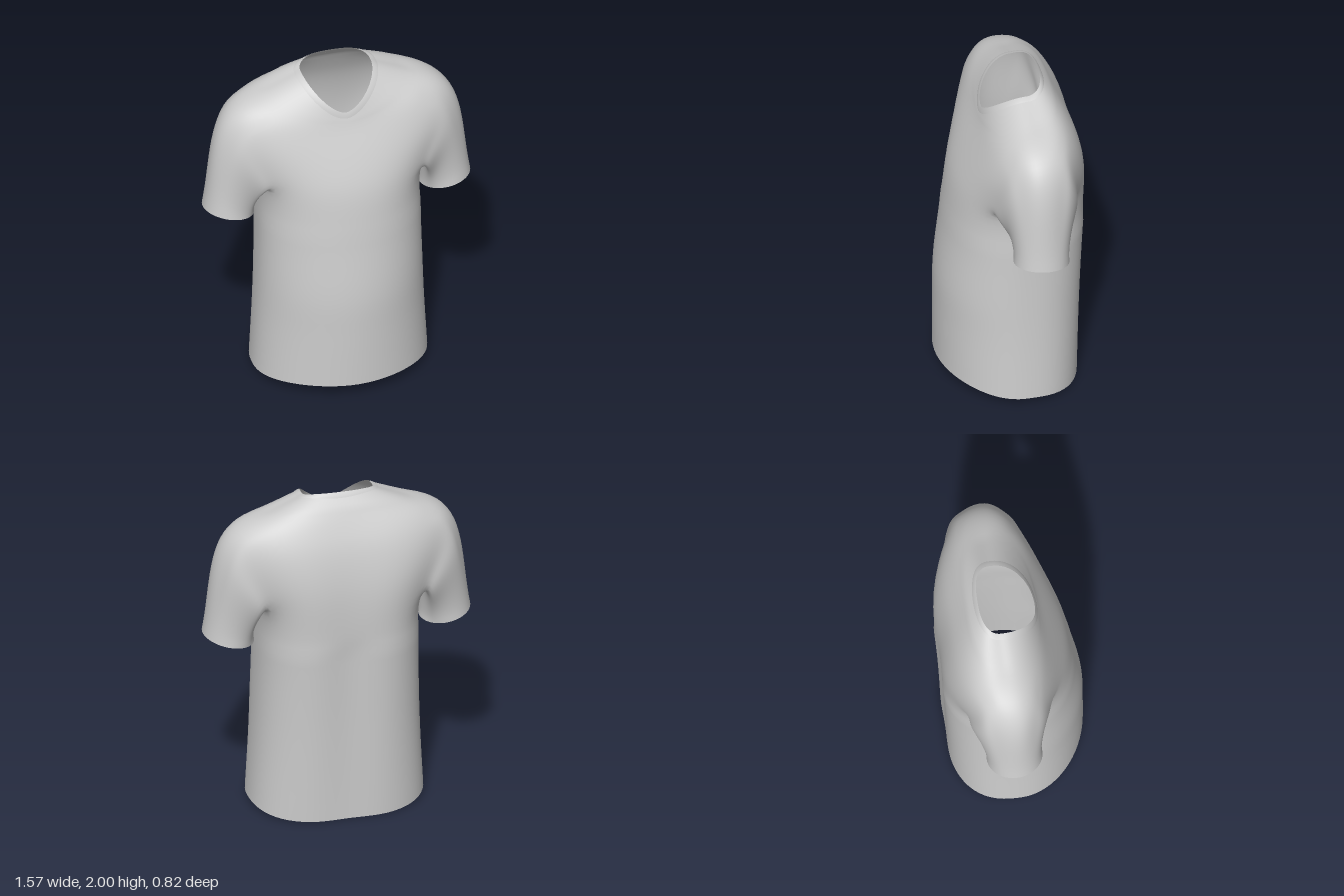
import * as THREE from 'three';

const COLS = 72, STEP = 5, SLEEVE_ROWS = 16;

// Body rings from hem to neckline:
// [frontY, frontZ, sideX, sideY, sideZ, backY, backZ, squareness, spineDip, frontPower]
const RINGS = [
  [0.08, 0.42, 0.51, 0.04, 0.0, 0.0, -0.385, 1.95, 0.02, 4],
  [0.40, 0.42, 0.49, 0.40, 0.0, 0.40, -0.40, 1.95, 0.03, 2],
  [0.66, 0.415, 0.48, 0.66, 0.0, 0.66, -0.41, 2.0, 0.035, 2],
  [1.00, 0.375, 0.472, 1.00, -0.01, 1.00, -0.425, 2.1, 0.04, 2],
  [1.30, 0.34, 0.475, 1.30, -0.03, 1.30, -0.435, 2.35, 0.04, 2],
  [1.45, 0.29, 0.54, 1.45, -0.04, 1.50, -0.42, 2.6, 0.035, 2],
  [1.58, 0.235, 0.62, 1.65, -0.04, 1.70, -0.37, 2.6, 0.025, 2],
  [1.68, 0.19, 0.58, 1.82, -0.05, 1.82, -0.31, 2.5, 0.015, 2],
  [1.74, 0.168, 0.40, 1.885, -0.06, 1.92, -0.245, 2.2, 0.0, 1.8],
  [1.785, 0.15, 0.207, 1.965, -0.07, 1.995, -0.18, 2.1, 0.0, 1.6],
];
const ROWS = (RINGS.length - 1) * STEP;

// Armhole: a block of the body grid left open for the sleeve
const HOLE = { c0: COLS / 4 - 7, c1: COLS / 4 + 7, r0: 21, r1: 35 };

function ringPoint([fy, fz, sx, sy, sz, by, bz, square, dip, power], angle) {
  const s = Math.sin(angle), c = Math.cos(angle), front = c > 0;
  const n = front ? square : square + 0.5;
  const r = Math.pow(Math.abs(s) ** n + Math.abs(c) ** n, -1 / n);
  const x = sx * s * r;
  let z = sz + Math.abs(c) * r * ((front ? fz : bz) - sz);
  if (!front) z += dip * Math.exp(-((x / 0.17) ** 2));
  const weight = 1 - Math.abs(s) ** (front ? power : 4);
  return new THREE.Vector3(x, sy + ((front ? fy : by) - sy) * weight, z);
}

// Path of one sleeve thread from the armhole to the cuff (on the +x side)
function sleeveThread(start) {
  const phi = Math.atan2((start.z + 0.05) / 0.22, (start.y - 1.58) / 0.24);
  const c = Math.cos(phi), s = Math.sin(phi), u = (1 + c) / 2;
  const cuff = new THREE.Vector3(0.637 + 0.148 * c, 1.11 + 0.028 * c + 0.012 * s, -0.06 + 0.16 * s);
  const bulge = s > 0 ? 0.07 - 0.12 * u : 0.13 - 0.16 * u;
  const leave = new THREE.Vector3(0.02 + 0.17 * u, -0.07 * u, bulge * s).add(start);
  const arrive = new THREE.Vector3(-0.05 * u, 0.1 + 0.16 * u, 0).add(cuff);
  return new THREE.CubicBezierCurve3(start, leave, arrive, cuff);
}

function addQuad(index, a, b, c, d, flip) {
  if (flip) index.push(a, c, b, a, d, c);
  else index.push(a, b, c, a, c, d);
}

// Ease the free points toward the middle of their neighbours
function relax(points, index, isFree, passes) {
  const near = points.map(() => new Set());
  for (let i = 0; i < index.length; i += 3) {
    const tri = index.slice(i, i + 3);
    for (const a of tri) for (const b of tri) if (a !== b) near[a].add(b);
  }
  for (let pass = 0; pass < passes; pass++) {
    const moved = points.map((p, i) => {
      if (!isFree(i) || near[i].size === 0) return p;
      const middle = new THREE.Vector3();
      for (const k of near[i]) middle.add(points[k]);
      return middle.divideScalar(near[i].size).lerp(p, 0.4);
    });
    moved.forEach((p, i) => { points[i] = p; });
  }
}

export function createModel() {
  const shirt = new THREE.Group();
  shirt.name = 'shirt';
  const fabric = new THREE.MeshStandardMaterial({ color: 0xcccccc, side: THREE.DoubleSide });
  fabric.name = 'greyFabric';

  const points = [];
  const curves = [];
  for (let j = 0; j < COLS; j++) {
    const angle = (j / COLS) * Math.PI * 2;
    curves.push(new THREE.CatmullRomCurve3(RINGS.map((ring) => ringPoint(ring, angle))));
  }
  for (let i = 0; i <= ROWS; i++) for (const curve of curves) points.push(curve.getPoint(i / ROWS));
  const at = (row, col) => row * COLS + ((col % COLS) + COLS) % COLS;

  // Torso, skipping both armholes
  const torso = [];
  const inHole = (i, j) => i >= HOLE.r0 && i < HOLE.r1 && j >= HOLE.c0 && j < HOLE.c1;
  for (let i = 0; i < ROWS; i++) {
    for (let j = 0; j < COLS; j++) {
      if (inHole(i, j) || inHole(i, COLS - 1 - j)) continue;
      addQuad(torso, at(i, j), at(i, j + 1), at(i + 1, j + 1), at(i + 1, j));
    }
  }

  // Armhole edge as a closed loop of grid positions
  const loop = [];
  for (let j = HOLE.c0; j < HOLE.c1; j++) loop.push([HOLE.r0, j]);
  for (let i = HOLE.r0; i < HOLE.r1; i++) loop.push([i, HOLE.c1]);
  for (let j = HOLE.c1; j > HOLE.c0; j--) loop.push([HOLE.r1, j]);
  for (let i = HOLE.r1; i > HOLE.r0; i--) loop.push([i, HOLE.c0]);

  // Sleeves share the armhole points, so the seam shades smoothly
  const cuffPoints = new Set();
  function sleeve(side) {
    const index = [];
    let previous = loop.map(([i, j]) => at(i, side > 0 ? j : COLS - j));
    const threads = loop.map(([i, j]) => sleeveThread(points[at(i, j)]));
    for (let k = 1; k <= SLEEVE_ROWS; k++) {
      const next = threads.map((thread) => {
        const p = thread.getPoint(k / SLEEVE_ROWS);
        p.x *= side;
        return points.push(p) - 1;
      });
      for (let q = 0; q < loop.length; q++) {
        const e = (q + 1) % loop.length;
        addQuad(index, previous[q], previous[e], next[e], next[q], side < 0);
      }
      previous = next;
    }
    previous.forEach((i) => cuffPoints.add(i));
    return index;
  }
  const leftSleeve = sleeve(1), rightSleeve = sleeve(-1);

  // Soften the shoulders; lower body, neckline and cuffs stay put
  const all = [...torso, ...leftSleeve, ...rightSleeve];
  const torsoEnd = (ROWS + 1) * COLS;
  const isFree = (i) => (i < torsoEnd ? i >= 17 * COLS && i < 40 * COLS : !cuffPoints.has(i));
  relax(points, all, isFree, 9);

  // Common points and normals, one mesh per part
  const whole = new THREE.BufferGeometry().setFromPoints(points);
  whole.setIndex(all);
  whole.computeVertexNormals();
  function addPart(name, index) {
    const geometry = new THREE.BufferGeometry();
    geometry.setAttribute('position', whole.getAttribute('position'));
    geometry.setAttribute('normal', whole.getAttribute('normal'));
    geometry.setIndex(index);
    const mesh = new THREE.Mesh(geometry, fabric);
    mesh.name = name;
    shirt.add(mesh);
  }
  addPart('torso', torso);
  addPart('leftSleeve', leftSleeve);
  addPart('rightSleeve', rightSleeve);

  // Collar: a thin band lying on the fabric along the neckline
  const band = [], bandIndex = [];
  for (let i = 0; i < 3; i++) {
    for (const curve of curves) {
      const p = curve.getPoint(1);
      const lift = new THREE.Vector3(p.x, 0.1, p.z).setLength(i === 0 ? 0.001 : 0.005);
      band.push(p.addScaledVector(curve.getTangent(1), -0.036 * (1 - i / 2)).add(lift));
    }
  }
  for (let i = 0; i < 2; i++) {
    for (let j = 0; j < COLS; j++) {
      addQuad(bandIndex, at(i, j), at(i, j + 1), at(i + 1, j + 1), at(i + 1, j));
    }
  }
  const collarGeometry = new THREE.BufferGeometry().setFromPoints(band);
  collarGeometry.setIndex(bandIndex);
  collarGeometry.computeVertexNormals();
  const collar = new THREE.Mesh(collarGeometry, fabric);
  collar.name = 'collar';
  shirt.add(collar);

  return shirt;
}
